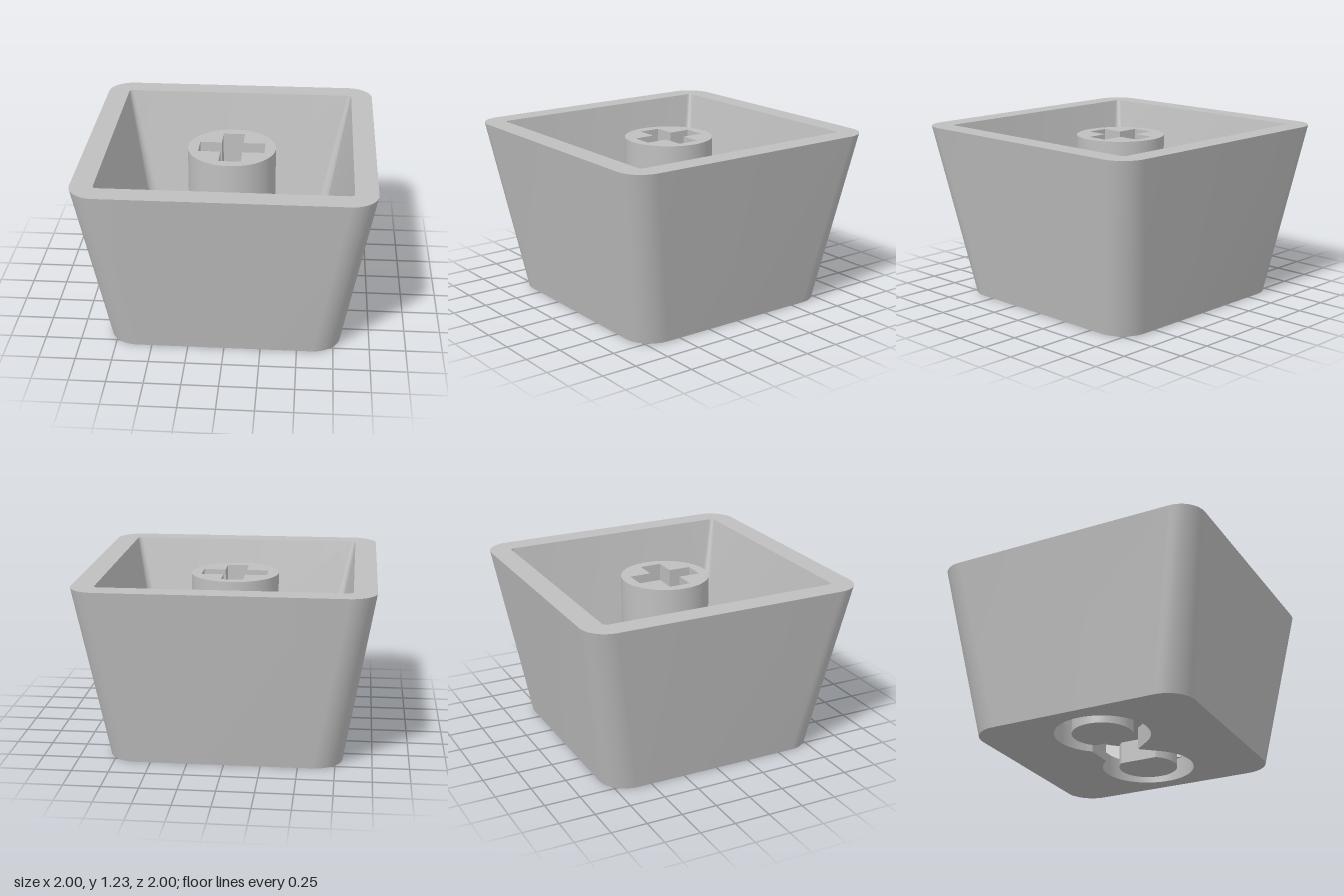
import * as THREE from 'three';
import { toCreasedNormals } from 'three/addons/utils/BufferGeometryUtils.js';

const HEIGHT = 1.225, FLOOR = 0.16, STEM_TOP = 1.155, SOCKET = 0.7;
const STEM_R = 0.31;
// figure-eight slot: loop centre, inner and outer radius, crossing angle
const LOOP_X = 0.355, LOOP_IN = 0.21, LOOP_OUT = 0.33;
const HALF = (LOOP_OUT - LOOP_IN) / 2;
const CROSS = Math.asin((LOOP_IN + HALF) / LOOP_X);
const TANGENT = Math.PI / 2 + CROSS;

// rounded square, counter-clockwise seen from above
function roundedSquare(half, radius, steps = 14) {
  const points = [];
  for (let corner = 0; corner < 4; corner++) {
    const mid = Math.PI / 4 + corner * Math.PI / 2;
    const cx = Math.sign(Math.cos(mid)) * (half - radius);
    const cy = Math.sign(Math.sin(mid)) * (half - radius);
    for (let i = 0; i <= steps; i++) {
      const a = (corner + i / steps) * Math.PI / 2;
      points.push(new THREE.Vector2(cx + radius * Math.cos(a), cy + radius * Math.sin(a)));
    }
  }
  return points;
}

// skin through a chain of rounded squares given as [half, radius, y]
function loft(sections) {
  const positions = [], index = [];
  const n = roundedSquare(1, 0.1).length;
  for (const [half, radius, y] of sections) {
    for (const p of roundedSquare(half, radius)) positions.push(p.x, y, -p.y);
  }
  for (let s = 0; s < sections.length - 1; s++) {
    for (let i = 0; i < n; i++) {
      const a = s * n + i, b = s * n + (i + 1) % n;
      index.push(a, b, b + n, a, b + n, a + n);
    }
  }
  const geometry = new THREE.BufferGeometry();
  geometry.setAttribute('position', new THREE.Float32BufferAttribute(positions, 3));
  geometry.setIndex(index);
  return toCreasedNormals(geometry, 0.5);
}

// flat outline raised from y0 to y1
function slab(shape, y0, y1) {
  const geometry = new THREE.ExtrudeGeometry(shape, { depth: y1 - y0, bevelEnabled: false, curveSegments: 48 });
  geometry.rotateX(-Math.PI / 2).translate(0, y0, 0);
  return toCreasedNormals(geometry, 0.5);
}

// outer edge of the figure-eight slot
function slotOutline() {
  const path = new THREE.Path();
  const waist = HALF / Math.cos(CROSS);
  path.moveTo(0, waist);
  path.absarc(LOOP_X, 0, LOOP_OUT, TANGENT, -TANGENT, true);
  path.lineTo(0, -waist);
  path.absarc(-LOOP_X, 0, LOOP_OUT, TANGENT - Math.PI, Math.PI - TANGENT, true);
  path.closePath();
  return path;
}

// teardrop left standing inside a loop of the slot
function islandShape() {
  const shape = new THREE.Shape();
  shape.moveTo(HALF / Math.sin(CROSS), 0);
  shape.absarc(LOOP_X, 0, LOOP_IN, TANGENT, -TANGENT, true);
  shape.closePath();
  return shape;
}

// plus-shaped socket outline
function plusPath(reach, width) {
  const points = [];
  for (let i = 0; i < 4; i++) {
    const turn = i * Math.PI / 2;
    for (const [x, y] of [[reach, -width], [reach, width], [width, width]]) {
      points.push(new THREE.Vector2(x, y).rotateAround(new THREE.Vector2(), turn));
    }
  }
  return new THREE.Path(points);
}

export function createModel() {
  const group = new THREE.Group();
  const grey = new THREE.MeshStandardMaterial({ color: 0xbfbfbf });
  grey.name = 'plain grey';
  const add = (name, geometry) => {
    const mesh = new THREE.Mesh(geometry, grey);
    mesh.name = name;
    group.add(mesh);
    return mesh;
  };

  // tapered walls: outside, rim, inside and the underside at floor level
  add('shellWalls', loft([
    [0.8, 0.2, 0],
    [1, 0.18, HEIGHT],
    [0.845, 0.03, HEIGHT],
    [0.648, 0.08, FLOOR],
    [0.8, 0.2, FLOOR],
  ]));

  // floor cut through by the slot
  const floor = new THREE.Shape(roundedSquare(0.8, 0.2));
  floor.holes.push(slotOutline());
  add('floor', slab(floor, 0, FLOOR));

  // the two islands, held by the stem
  const island = slab(islandShape(), 0, FLOOR);
  add('leftIsland', island);
  add('rightIsland', island).rotation.y = Math.PI;

  // stem: solid base, then a collar with the plus-shaped socket
  const base = new THREE.CylinderGeometry(STEM_R, STEM_R, SOCKET - FLOOR, 96);
  add('stemBase', base.translate(0, (SOCKET + FLOOR) / 2, 0));
  const collar = new THREE.Shape().absarc(0, 0, STEM_R, 0, Math.PI * 2, false);
  collar.holes.push(plusPath(0.232, 0.077));
  add('stemSocket', slab(collar, SOCKET, STEM_TOP));

  return group;
}
